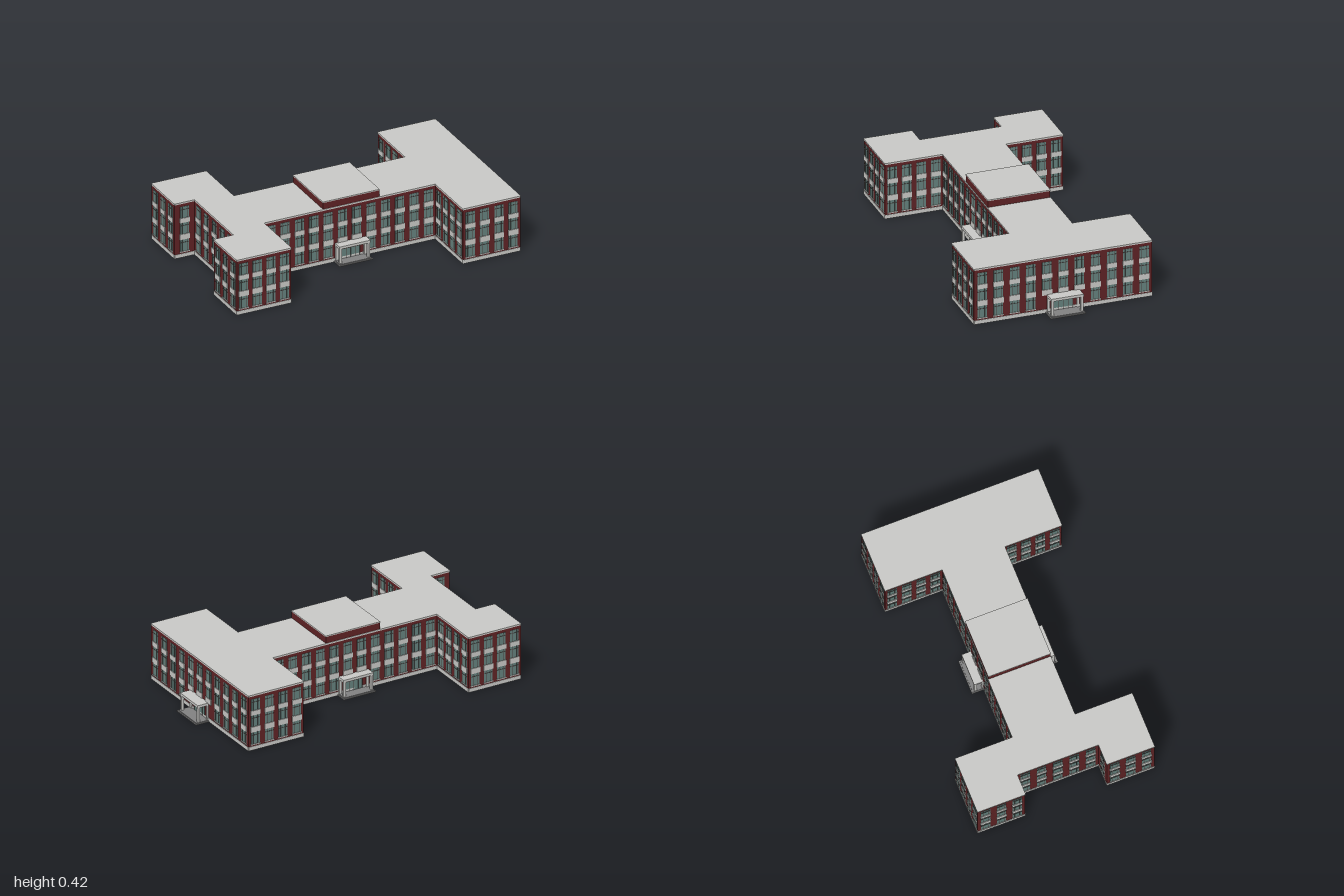
import * as THREE from 'three';
import { mergeGeometries } from 'three/addons/utils/BufferGeometryUtils.js';

const mat = (name, color, side = THREE.FrontSide) => {
  const m = new THREE.MeshStandardMaterial({ color, side });
  m.name = name;
  return m;
};

// Box from its lower and upper limits on each axis
const block = (x0, x1, y0, y1, z0, z1) =>
  new THREE.BoxGeometry(x1 - x0, y1 - y0, z1 - z0)
    .translate((x0 + x1) / 2, (y0 + y1) / 2, (z0 + z1) / 2);

export function createModel() {
  const brick = mat('brick', 0x5e2224, THREE.DoubleSide);
  const stone = mat('pale stone', 0xc8c8c5);
  const glass = mat('window glass', 0x64807c);
  const frame = mat('window frame', 0x4b4341);
  const paving = mat('step paving', 0x808080);

  const model = new THREE.Group();
  model.name = 'building';
  const add = (parent, name, geometries, material) => {
    if (!geometries.length) return;
    const mesh = new THREE.Mesh(geometries.length > 1 ? mergeGeometries(geometries) : geometries[0], material);
    mesh.name = name;
    parent.add(mesh);
  };

  const WALL = 0.36, ROOF = 0.37, WIN = 0.06;
  const floors = [[0.04, 0.12], [0.156, 0.233], [0.264, 0.34]];

  // Footprint corners: x, z, window bays on the wall that follows, ground bays left out for a door
  const plan = [
    [-1, 0.57, 4, 0], [-0.635, 0.57, 4, 0], [-0.635, 0.2, 12, 2], [0.52, 0.2, 4, 0],
    [0.52, 0.57, 4, 0], [0.905, 0.57, 11, 3], [0.905, -0.57, 4, 0], [0.52, -0.57, 4, 0],
    [0.52, -0.2, 12, 2], [-0.635, -0.2, 4, 0], [-0.635, -0.57, 4, 0], [-1, -0.57, 3, 0],
    [-1, -0.264, 1, 0], [-0.865, -0.264, 5, 0], [-0.865, 0.264, 1, 0], [-1, 0.264, 3, 0],
  ];

  // One wall, outward along its own +z
  plan.forEach(([x, z, bays, doorBays], i) => {
    const [nx, nz] = plan[(i + 1) % plan.length];
    const length = Math.hypot(nx - x, nz - z), half = length / 2;
    const wall = new THREE.Group();
    wall.name = `wall${i + 1}`;
    wall.position.set((x + nx) / 2, 0, (z + nz) / 2);
    wall.rotation.y = Math.atan2(z - nz, nx - x);
    model.add(wall);

    add(wall, 'brickWall', [new THREE.PlaneGeometry(length, WALL).translate(0, WALL / 2, 0)], brick);
    add(wall, 'plinth', [block(-half, half, 0, 0.025, 0, 0.003)], stone);
    add(wall, 'cornice', [block(-half, half, WALL, ROOF, 0, 0.003)], stone);

    const panes = [], bars = [], panels = [];
    const step = length / bays;
    for (let b = 0; b < bays; b++) {
      const c = (b - (bays - 1) / 2) * step;
      const overDoor = Math.abs(c) < (doorBays * step) / 2;
      floors.forEach(([y0, y1], f) => {
        if (f > 0) panels.push(block(c - 0.033, c + 0.033, floors[f - 1][1], y0, 0, 0.006));
        if (f === 0 && overDoor) return;
        if (f === 0) panels.push(block(c - 0.033, c + 0.033, 0.034, y0, 0, 0.006));
        panes.push(block(c - WIN / 2, c + WIN / 2, y0, y1, 0, 0.002));
        // Mullions and transom
        for (const s of [-1, 1]) {
          const mx = c + s * WIN * 0.27;
          bars.push(block(mx - 0.0012, mx + 0.0012, y0, y1, 0, 0.004));
        }
        const ty = y0 + (y1 - y0) * 0.74;
        bars.push(block(c - WIN / 2, c + WIN / 2, ty - 0.0012, ty + 0.0012, 0, 0.004));
      });
    }
    add(wall, 'windowPanes', panes, glass);
    add(wall, 'windowBars', bars, frame);
    add(wall, 'spandrelPanels', panels, stone);
  });

  // Flat roof following the footprint
  const outline = new THREE.Shape(plan.map(([x, z]) => new THREE.Vector2(x, -z)));
  add(model, 'roof', [new THREE.ExtrudeGeometry(outline, { depth: ROOF - WALL, bevelEnabled: false })
    .rotateX(-Math.PI / 2).translate(0, WALL, 0)], stone);

  // Raised block on the middle roof
  add(model, 'penthouse', [block(-0.235, 0.143, ROOF - 0.008, 0.413, -0.2, 0.2)], brick);
  add(model, 'penthouseRoof', [block(-0.237, 0.145, 0.413, 0.42, -0.202, 0.202)], stone);

  // Entrance porch, outward along its own +z
  const addPorch = (name, x, z, angle, reach) => {
    const porch = new THREE.Group();
    porch.name = name;
    porch.position.set(x, 0, z);
    porch.rotation.y = angle;
    model.add(porch);
    const edge = reach - 0.018;
    add(porch, 'steps', [
      block(-0.113, 0.113, 0, 0.006, -0.01, reach),
      block(-0.106, 0.106, 0.006, 0.011, 0, reach - 0.008),
    ], paving);
    add(porch, 'canopy', [block(-0.104, 0.104, 0.107, 0.124, 0, edge)], stone);
    const posts = [];
    for (const s of [-1, 1]) {
      const px = s * 0.095;
      posts.push(block(px - 0.008, px + 0.008, 0.011, 0.107, edge - 0.018, edge - 0.002));
      posts.push(block(px - 0.008, px + 0.008, 0.011, 0.107, 0, 0.01));
    }
    add(porch, 'posts', posts, stone);
    add(porch, 'doorGlass', [block(-0.061, 0.061, 0.011, 0.09, 0, 0.003)], glass);
    add(porch, 'doorFrame', [
      ...[-0.061, -0.032, 0, 0.032, 0.061].map((dx) => block(dx - 0.0012, dx + 0.0012, 0.011, 0.09, 0, 0.005)),
      block(-0.062, 0.062, 0.0885, 0.091, 0, 0.005),
      block(-0.061, 0.061, 0.074, 0.076, 0, 0.005),
    ], frame);
  };
  addPorch('eastPorch', 0.905, 0, Math.PI / 2, 0.095);
  addPorch('frontPorch', -0.05, 0.2, 0, 0.078);
  addPorch('backPorch', -0.05, -0.2, Math.PI, 0.078);

  // Paved passage joining front and back doors
  add(model, 'passageFloor', [block(-0.156, 0.056, 0, 0.006, -0.19, 0.19)], paving);

  return model;
}
